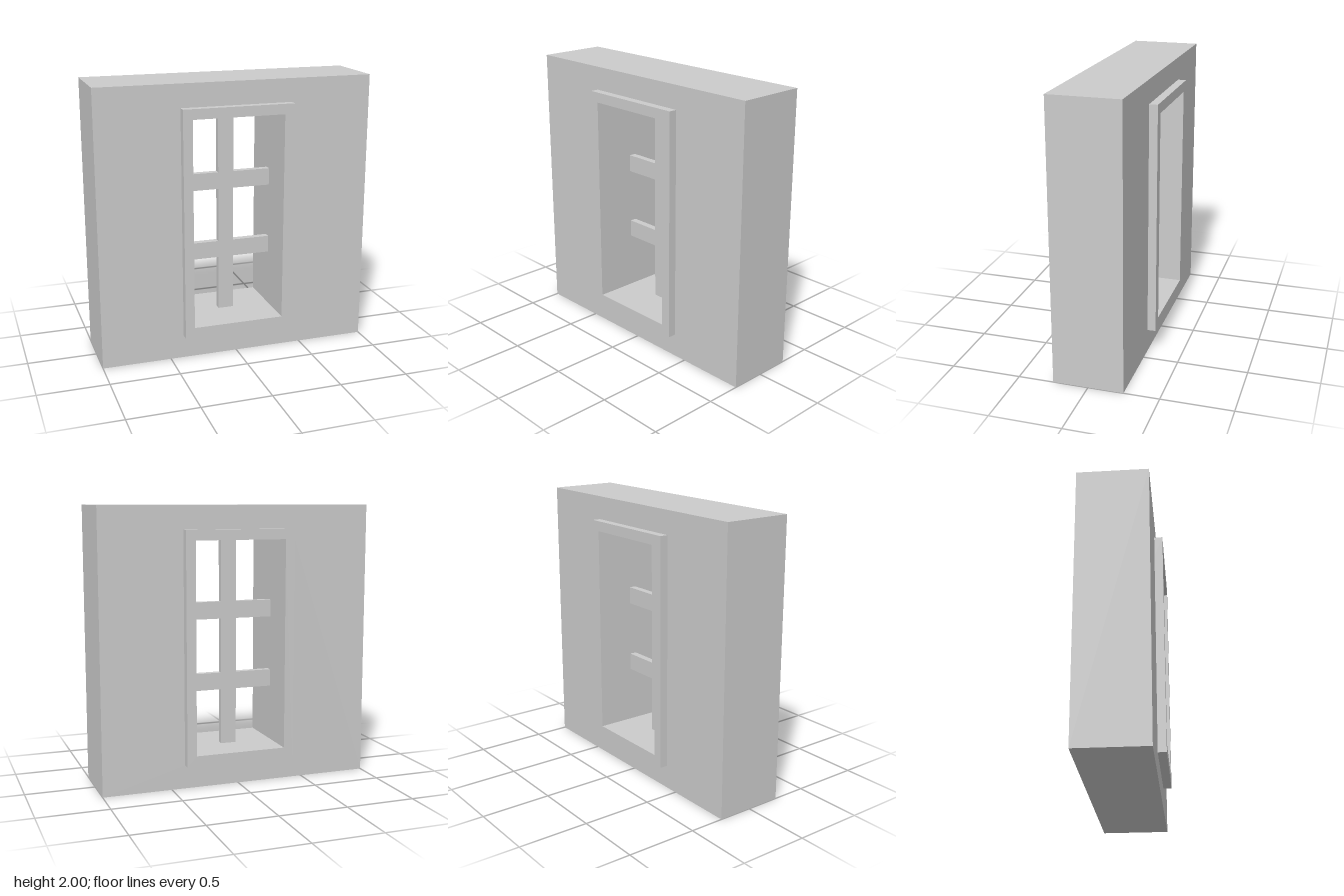
import * as THREE from 'three';

const material = new THREE.MeshStandardMaterial({ color: 0xcccccc, flatShading: true });

// Adds the four corners of a rectangle to a shape or hole path
function rectangle(path, [x0, y0, x1, y1]) {
  path.moveTo(x0, y0);
  path.lineTo(x1, y0);
  path.lineTo(x1, y1);
  path.lineTo(x0, y1);
  path.closePath();
  return path;
}

// Rectangular slab with a rectangular opening, centred on z = 0
function openSlab(name, outer, inner, depth) {
  const shape = rectangle(new THREE.Shape(), outer);
  shape.holes.push(rectangle(new THREE.Path(), inner));
  const geometry = new THREE.ExtrudeGeometry(shape, { depth, bevelEnabled: false });
  geometry.translate(0, 0, -depth / 2);
  const mesh = new THREE.Mesh(geometry, material);
  mesh.name = name;
  return mesh;
}

function bar(name, [x0, y0, x1, y1], z0, z1) {
  const mesh = new THREE.Mesh(new THREE.BoxGeometry(x1 - x0, y1 - y0, z1 - z0), material);
  mesh.position.set((x0 + x1) / 2, (y0 + y1) / 2, (z0 + z1) / 2);
  mesh.name = name;
  return mesh;
}

export function createModel() {
  const model = new THREE.Group();
  model.name = 'windowWall';

  const frameOuter = [-0.403, 0.17, 0.403, 1.833];
  const opening = [-0.335, 0.245, 0.333, 1.76];

  // Thick wall, and the frame that passes through it and stands proud on both sides
  model.add(openSlab('wall', [-1, 0, 1, 2], frameOuter, 0.5));
  model.add(openSlab('windowFrame', frameOuter, opening, 0.62));

  // Thin glazing bars in the middle of the opening
  const bars = new THREE.Group();
  bars.name = 'glazingBars';
  const [left, bottom, right, top] = opening;
  const [m0, m1] = [-0.06, 0.055];
  const [back, front] = [-0.04, 0.01];
  bars.add(bar('mullion', [m0, bottom, m1, top], back, front));
  for (const [y0, y1] of [[0.655, 0.78], [1.18, 1.305]]) {
    bars.add(bar('rightCrossbar', [left, y0, m0, y1], back, front));
    bars.add(bar('leftCrossbar', [m1, y0, right, y1], back, front));
  }
  model.add(bars);

  return model;
}
